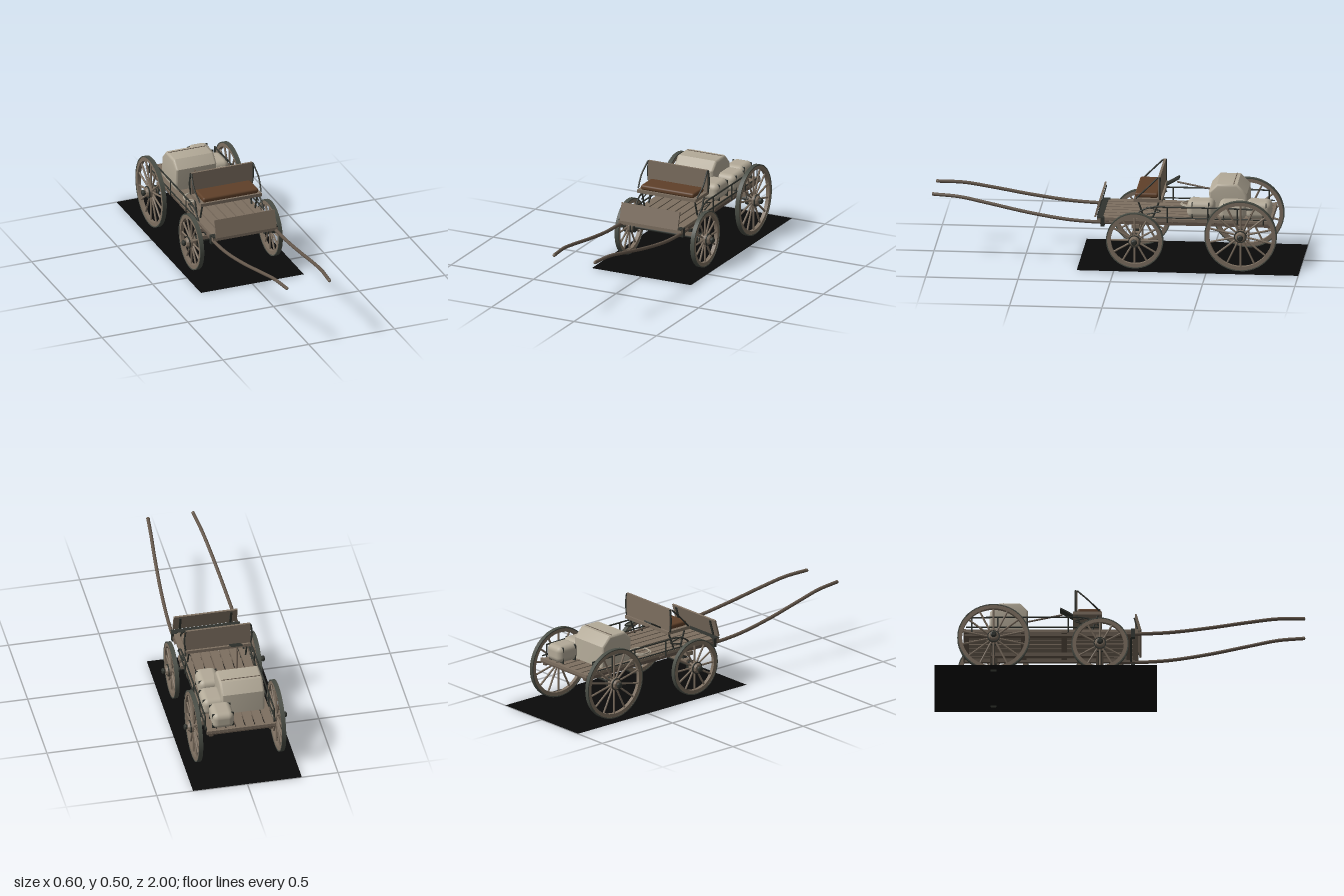
import * as THREE from 'three';
import { toCreasedNormals } from 'three/addons/utils/BufferGeometryUtils.js';
import { RoundedBoxGeometry } from 'three/addons/geometries/RoundedBoxGeometry.js';

const mat = (name, color, side = THREE.FrontSide) => {
  const m = new THREE.MeshStandardMaterial({ color, side });
  m.name = name;
  return m;
};
const V = (x, y, z) => new THREE.Vector3(x, y, z);

export function createModel() {
  const wood = mat('weathered wood', 0x7d6f60);
  const darkWood = mat('dark wood', 0x63564a);
  const iron = mat('iron', 0x30332e);
  const tyreMat = mat('tyre steel', 0x4a4e46);
  const leather = mat('brown leather', 0x5f4029);
  const canvas = mat('canvas', 0xb3aa98);
  const soil = mat('black ground', 0x0a0a0a, THREE.DoubleSide);

  const wagon = new THREE.Group();
  wagon.name = 'wagon';
  const add = (name, geo, material, parent = wagon) => {
    const m = new THREE.Mesh(geo, material);
    m.name = name;
    parent.add(m);
    return m;
  };
  const box = (name, material, w, h, d, x, y, z, rx = 0) => {
    const m = add(name, new THREE.BoxGeometry(w, h, d), material);
    m.position.set(x, y, z);
    m.rotation.x = rx;
    return m;
  };
  const tube = (name, material, pts, r, seg = 16, sides = 8) =>
    add(name, new THREE.TubeGeometry(new THREE.CatmullRomCurve3(pts), seg, r, sides), material);
  const rod = (name, material, a, b, r, sides = 8, parent = wagon) => {
    const m = add(name, new THREE.CylinderGeometry(r, r, a.distanceTo(b), sides), material, parent);
    m.position.copy(a).add(b).multiplyScalar(0.5);
    m.quaternion.setFromUnitVectors(V(0, 1, 0), b.clone().sub(a).normalize());
    return m;
  };
  const lathe = (pts, seg) =>
    toCreasedNormals(new THREE.LatheGeometry(pts.map(p => new THREE.Vector2(...p)), seg), 0.6);
  const ring = (r0, r1, w) => lathe([[r0, -w], [r1, -w], [r1, w], [r0, w], [r0, -w]], 48);

  // Ground slab
  const ground = add('ground', new THREE.PlaneGeometry(0.6, 1.2), soil);
  ground.rotation.x = -Math.PI / 2;
  ground.position.set(0, 0.003, -0.4);

  // Wheels: axis along local y, turned so that +y points outward
  function wheel(name, side, r, y, z, count) {
    const g = new THREE.Group();
    g.name = name;
    g.position.set(side * 0.229, y, z);
    g.rotation.z = -side * Math.PI / 2;
    wagon.add(g);
    add('tyre', ring(r - 0.006, r, 0.0115), tyreMat, g);
    add('felloe', ring(r - 0.026, r - 0.005, 0.01), wood, g);
    add('hub', lathe([[0, -0.036], [0.02, -0.036], [0.029, -0.024], [0.032, -0.01], [0.032, 0.01],
      [0.029, 0.022], [0.022, 0.034], [0.014, 0.036], [0, 0.036]], 24), wood, g);
    for (const [h, rr] of [[-0.035, 0.03], [-0.02, 0.034], [0.02, 0.034]])
      add('hubBand', lathe([[0, h - 0.003], [rr, h - 0.003], [rr, h + 0.003], [0, h + 0.003]], 24), iron, g);
    add('axleCap', lathe([[0, 0.03], [0.013, 0.03], [0.013, 0.04], [0.017, 0.043], [0.016, 0.05],
      [0.01, 0.055], [0, 0.056]], 16), iron, g);
    for (let i = 0; i < count; i++) {
      const a = (i / count) * Math.PI * 2;
      const d = V(Math.cos(a), 0, Math.sin(a));
      rod('spoke', wood, d.clone().multiplyScalar(0.025), d.clone().multiplyScalar(r - 0.02), 0.0055, 8, g);
    }
  }
  const axles = [['front', 0.155, 0.158, -0.108, 12], ['rear', 0.196, 0.198, -0.682, 14]];
  for (const [n, r, y, z, c] of axles) {
    for (const s of [-1, 1]) wheel(`${n}Wheel${s > 0 ? 'Left' : 'Right'}`, s, r, y, z, c);
    rod(`${n}Axle`, iron, V(-0.21, y, z), V(0.21, y, z), 0.009);
  }
  // Bolsters, springs and undercarriage
  box('frontAxleBeam', wood, 0.36, 0.022, 0.035, 0, 0.178, -0.108);
  box('frontBolster', wood, 0.38, 0.022, 0.04, 0, 0.224, -0.108);
  box('rearBolster', wood, 0.38, 0.024, 0.04, 0, 0.225, -0.682);
  box('reach', darkWood, 0.025, 0.02, 0.6, 0, 0.2, -0.395);
  for (const s of [-1, 1]) {
    box('frontSpringBlock', iron, 0.025, 0.07, 0.03, s * 0.14, 0.215, -0.108);
    box('rearSpringBlock', iron, 0.025, 0.05, 0.03, s * 0.14, 0.23, -0.682);
    box('sill', darkWood, 0.022, 0.02, 0.92, s * 0.165, 0.242, -0.38);
  }

  // Plank bed with cross battens
  const planks = 7, pitch = 0.37 / planks;
  for (let i = 0; i < planks; i++)
    box('bedPlank', wood, pitch - 0.008, 0.016, 0.92, (i - 3) * pitch, 0.26, -0.38);
  for (const z of [-0.83, -0.52, -0.3, 0.05])
    box('bedBatten', darkWood, 0.375, 0.008, 0.03, 0, 0.249, z);
  box('frontSill', wood, 0.38, 0.022, 0.03, 0, 0.256, 0.085);
  box('frontSillIron', iron, 0.38, 0.005, 0.032, 0, 0.267, 0.085);
  box('rearSill', wood, 0.38, 0.022, 0.014, 0, 0.258, -0.837);

  // Leaning dashboard
  box('dashboard', wood, 0.352, 0.1, 0.01, 0, 0.316, 0.098, -0.27);
  for (const s of [-1, 1])
    box('dashboardBracket', iron, 0.012, 0.09, 0.006, s * 0.14, 0.312, 0.089, -0.27);

  // Seat with cushion, backrest and bowed side irons
  box('seatBoard', wood, 0.355, 0.018, 0.155, 0, 0.369, -0.175);
  const cushion = add('seatCushion', new RoundedBoxGeometry(0.322, 0.028, 0.125, 3, 0.011), leather);
  cushion.position.set(0, 0.391, -0.166);
  box('backrest', wood, 0.356, 0.126, 0.012, 0, 0.44, -0.236);
  for (const s of [-1, 1]) {
    tube('seatStay', iron, [V(s * 0.178, 0.38, -0.11), V(s * 0.188, 0.44, -0.17), V(s * 0.179, 0.5, -0.23)], 0.0045);
    tube('backIron', iron, [V(s * 0.179, 0.375, -0.24), V(s * 0.186, 0.44, -0.24), V(s * 0.179, 0.502, -0.24)], 0.005);
    rod('seatLegFront', iron, V(s * 0.16, 0.27, -0.15), V(s * 0.16, 0.362, -0.12), 0.005);
    rod('seatLegRear', iron, V(s * 0.16, 0.27, -0.2), V(s * 0.16, 0.362, -0.235), 0.005);

    // Side rail along the bed
    tube('sideRail', iron, [V(s * 0.19, 0.275, -0.1), V(s * 0.19, 0.315, -0.14), V(s * 0.19, 0.336, -0.2),
      V(s * 0.19, 0.338, -0.3), V(s * 0.19, 0.338, -0.6), V(s * 0.19, 0.335, -0.8)], 0.0045, 32);
    rod('lowerRail', iron, V(s * 0.19, 0.278, -0.1), V(s * 0.19, 0.278, -0.83), 0.004);
    for (const z of [-0.28, -0.5, -0.66, -0.8])
      rod('railPost', iron, V(s * 0.19, 0.25, z), V(s * 0.19, 0.338, z), 0.004);
    tube('railBrace', iron, [V(s * 0.19, 0.335, -0.17), V(s * 0.19, 0.315, -0.245), V(s * 0.19, 0.295, -0.17)], 0.0035);

    // Curved shafts
    tube('shaft', darkWood, [V(s * 0.178, 0.24, 0), V(s * 0.181, 0.243, 0.12), V(s * 0.178, 0.253, 0.27),
      V(s * 0.168, 0.284, 0.48), V(s * 0.152, 0.326, 0.7), V(s * 0.138, 0.352, 0.85), V(s * 0.124, 0.359, 0.998)], 0.0095, 48, 12);
    const tip = add('shaftTip', new THREE.SphereGeometry(0.0095, 12, 8), wood);
    tip.position.set(s * 0.124, 0.359, 0.991);
    box('shaftClamp', iron, 0.028, 0.05, 0.02, s * 0.178, 0.245, 0.07);
  }
  rod('shaftBar', iron, V(-0.18, 0.238, 0.06), V(0.18, 0.238, 0.06), 0.006);

  // Rounded sacks with straps
  const sacks = [[0.095, -0.77, 0.12, 0.14], [0.117, -0.63, 0.125, 0.15], [0.105, -0.458, 0.12, 0.15]];
  for (const [x, z, w, d] of sacks) {
    const sack = add('sack', new RoundedBoxGeometry(w, 0.095, d, 4, 0.032), canvas);
    sack.position.set(x, 0.316, z);
    for (const o of [-0.3, 0.3]) {
      const strap = add('sackStrap', new RoundedBoxGeometry(w + 0.004, 0.099, 0.006, 2, 0.003), iron);
      strap.position.set(x, 0.312, z + o * d);
      strap.scale.set(0.96, 0.95, 1);
    }
  }
  // Large canvas bag with sloped ends
  const profile = new THREE.Shape([[-0.695, 0.282], [-0.515, 0.282], [-0.508, 0.39], [-0.545, 0.428],
    [-0.645, 0.428], [-0.69, 0.382]].map(p => new THREE.Vector2(...p)));
  const bag = new THREE.ExtrudeGeometry(profile, { depth: 0.21, bevelEnabled: true, bevelThickness: 0.014,
    bevelSize: 0.012, bevelSegments: 4 });
  bag.rotateY(-Math.PI / 2).translate(0.065, 0, 0);
  add('largeBag', toCreasedNormals(bag, 0.7), canvas);
  box('bagSeam', darkWood, 0.215, 0.004, 0.004, -0.04, 0.44, -0.63);

  // Coiled rope and shovel behind the seat
  for (let i = 0; i < 2; i++) {
    const coil = add('ropeCoil', new THREE.TorusGeometry(0.056 - i * 0.006, 0.0035, 8, 32), canvas);
    coil.rotation.x = Math.PI / 2;
    coil.position.set(-0.1 + i * 0.004, 0.274 + i * 0.005, -0.385);
  }
  box('shovelBlade', iron, 0.06, 0.008, 0.08, -0.088, 0.406, -0.287, 0.52);
  rod('shovelHandle', darkWood, V(-0.088, 0.4, -0.31), V(-0.05, 0.375, -0.5), 0.005);
  return wagon;
}
